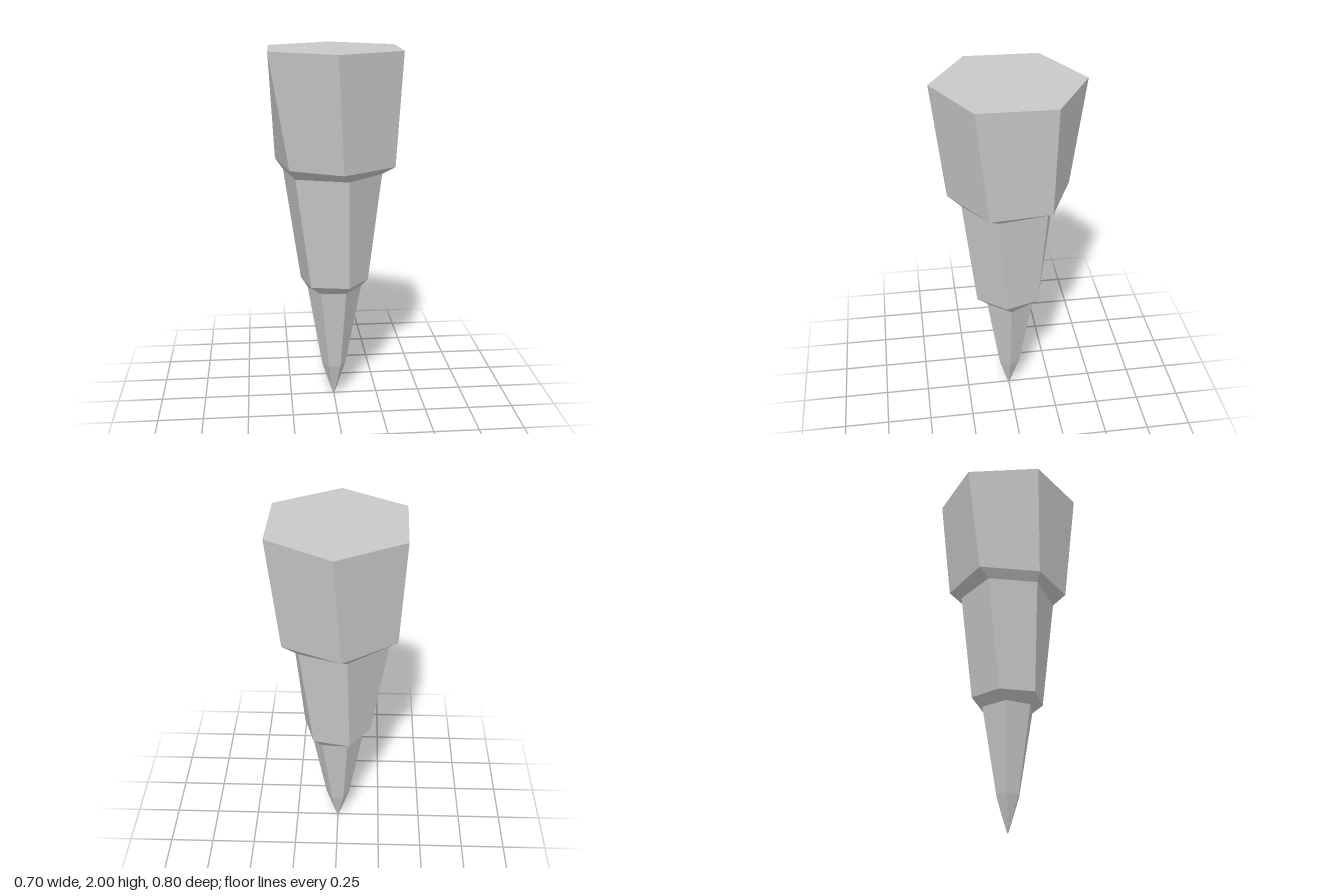
import * as THREE from 'three';

// Six-sided cross-sections, bottom to top: height, then [x, z] corners
// running from the front corner round by way of +x.
const rings = [
  { y: 0.0, pts: [[0.002, 0.004], [0.004, 0], [0.002, -0.004], [-0.002, -0.004], [-0.004, 0], [-0.002, 0.004]] },
  { y: 0.195, pts: [[0.034, 0.058], [0.068, -0.001], [0.034, -0.059], [-0.034, -0.058], [-0.068, 0.001], [-0.034, 0.059]] },
  { y: 0.67, pts: [[0.058, 0.132], [0.156, 0.005], [0.085, -0.124], [-0.057, -0.133], [-0.149, 0.0], [-0.08, 0.125]] },
  { y: 0.72, pts: [[0.069, 0.19], [0.19, 0.037], [0.133, -0.148], [-0.07, -0.19], [-0.186, -0.035], [-0.137, 0.153]] },
  { y: 1.336, pts: [[0.058, 0.26], [0.255, 0.081], [0.2, -0.18], [-0.056, -0.26], [-0.275, -0.09], [-0.218, 0.175]] },
  { y: 1.386, pts: [[0.026, 0.332], [0.318, 0.14], [0.286, -0.19], [-0.027, -0.332], [-0.317, -0.136], [-0.249, 0.19]] },
  { y: 2.0, pts: [[-0.01, 0.4], [0.342, 0.207], [0.351, -0.193], [0.01, -0.4], [-0.342, -0.207], [-0.351, 0.193]] },
];

// Skins the rings from index a to index b, one even normal per facet,
// and closes the two ends of the whole column.
function skin(a, b) {
  const pos = [], nor = [];
  const corner = (r, i) => new THREE.Vector3(r.pts[i % 6][0], r.y, r.pts[i % 6][1]);
  const quad = (p, q, r, s) => {
    const n = r.clone().sub(p).cross(s.clone().sub(q)).normalize();
    for (const v of [p, q, r, p, r, s]) {
      pos.push(v.x, v.y, v.z);
      nor.push(n.x, n.y, n.z);
    }
  };
  for (let k = a; k < b; k++) {
    const lo = rings[k], hi = rings[k + 1];
    for (let i = 0; i < 6; i++) {
      quad(corner(lo, i), corner(lo, i + 1), corner(hi, i + 1), corner(hi, i));
    }
  }
  const cap = (r, order) => quad(...order.map((i) => corner(r, i)));
  if (a === 0) {
    cap(rings[0], [3, 2, 1, 0]);
    cap(rings[0], [0, 5, 4, 3]);
  }
  if (b === rings.length - 1) {
    cap(rings[b], [0, 1, 2, 3]);
    cap(rings[b], [3, 4, 5, 0]);
  }
  const geo = new THREE.BufferGeometry();
  geo.setAttribute('position', new THREE.Float32BufferAttribute(pos, 3));
  geo.setAttribute('normal', new THREE.Float32BufferAttribute(nor, 3));
  return geo;
}

export function createModel() {
  const group = new THREE.Group();
  group.name = 'stalactite';
  const stone = new THREE.MeshStandardMaterial({ color: 0xc8c8c8 });
  stone.name = 'pale grey stone';

  // Pointed tip, then two wider tiers, each with a narrow sloping ledge below
  const parts = [
    ['pointedTip', 0, 2],
    ['middleTier', 2, 4],
    ['upperTier', 4, 6],
  ];
  for (const [name, a, b] of parts) {
    const mesh = new THREE.Mesh(skin(a, b), stone);
    mesh.name = name;
    group.add(mesh);
  }
  return group;
}
